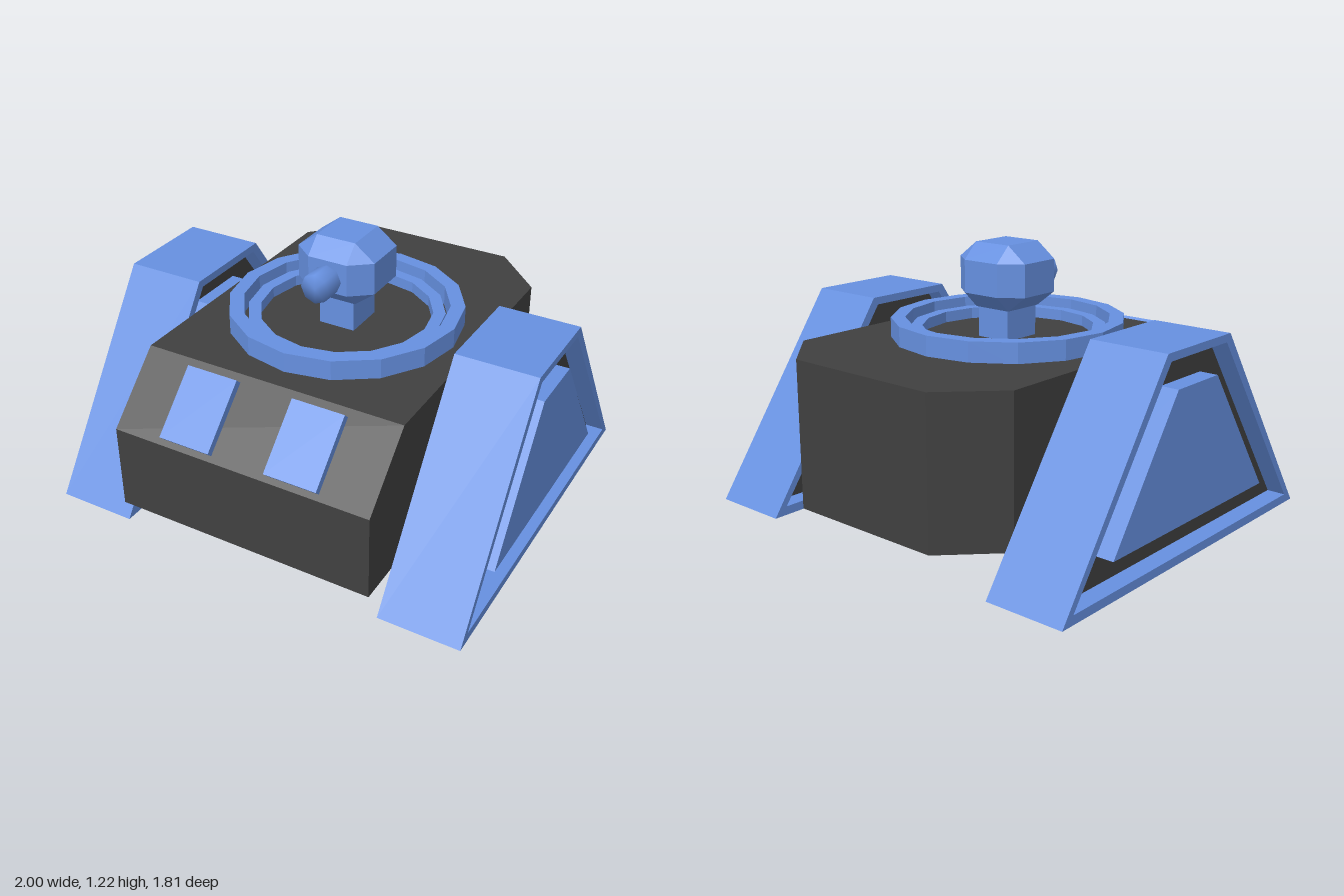
import * as THREE from 'three';
import { ConvexGeometry } from 'three/addons/geometries/ConvexGeometry.js';
import { mergeVertices } from 'three/addons/utils/BufferGeometryUtils.js';

const blue = new THREE.MeshStandardMaterial({ color: 0x6690e0, flatShading: true });
const dark = new THREE.MeshStandardMaterial({ color: 0x404040, flatShading: true });
const blueSmooth = new THREE.MeshStandardMaterial({ color: 0x6690e0 });

function add(parent, name, geometry, material, x = 0, y = 0, z = 0) {
  const mesh = new THREE.Mesh(geometry, material);
  mesh.name = name;
  mesh.position.set(x, y, z);
  parent.add(mesh);
  return mesh;
}

// Trapezoid corners: half length and height at the bottom, then at the top
function trapezoid([b, y0, t, y1]) {
  return [[-b, y0], [b, y0], [t, y1], [-t, y1]].map(([u, v]) => new THREE.Vector2(u, v));
}

// Trapezoid seen from the side, extruded across x and centred on x = 0
function sidePlate(outline, width, hole) {
  const shape = new THREE.Shape(trapezoid(outline));
  if (hole) shape.holes.push(new THREE.Path(trapezoid(hole)));
  return new THREE.ExtrudeGeometry(shape, { depth: width, bevelEnabled: false })
    .translate(0, 0, -width / 2).rotateY(Math.PI / 2);
}

// Sixteen-sided ring with a rectangular section
function ring(inner, outer, y0, y1) {
  const profile = [[inner, y0], [outer, y0], [outer, y1], [inner, y1], [inner, y0]];
  return new THREE.LatheGeometry(profile.map(([r, y]) => new THREE.Vector2(r, y)), 16);
}

export function createModel() {
  const model = new THREE.Group();
  model.name = 'trackedVehicle';

  // Hull: sloped front, chamfered rear corners
  const hull = [];
  for (const s of [-1, 1]) {
    for (const [x, y, z] of [
      [0.61, 0.13, 0.9], [0.61, 0.52, 0.9], [0.61, 0.79, 0.625],
      [0.61, 0.13, -0.675], [0.61, 0.79, -0.675],
      [0.375, 0.13, -0.91], [0.375, 0.79, -0.91],
    ]) hull.push(new THREE.Vector3(s * x, y, z));
  }
  add(model, 'hull', new ConvexGeometry(hull), dark);

  // Side tracks and front hatches, mirrored
  const rim = [0.865, 0, 0.23, 0.91];
  const recess = [0.8, 0.04, 0.205, 0.875];
  const panel = [0.555, 0.165, 0.145, 0.75];
  for (const [side, s] of [['left', 1], ['right', -1]]) {
    const track = new THREE.Group();
    track.name = side + 'Track';
    track.position.x = s * 0.815;
    add(track, 'trackRim', sidePlate(rim, 0.37, recess), blue);
    add(track, 'trackRecess', sidePlate(recess, 0.2), dark);
    add(track, 'trackPanel', sidePlate(panel, 0.368), blue);
    model.add(track);

    const hatch = add(model, side + 'FrontHatch', new THREE.BoxGeometry(0.243, 0.322, 0.064),
      blue, s * 0.254, 0.653, 0.767);
    hatch.rotation.x = -Math.PI / 4;
  }

  // Turret rings on the deck
  add(model, 'outerTurretRing', ring(0.46, 0.525, 0.78, 0.88), blue);
  add(model, 'innerTurretRing', ring(0.385, 0.44, 0.78, 0.84), blue);

  // Turret: neck, faceted head and short barrel
  const turret = new THREE.Group();
  turret.name = 'turret';
  model.add(turret);
  add(turret, 'neck', new THREE.BoxGeometry(0.17, 0.15, 0.19), blue, 0, 0.86, -0.007);

  const head = [];
  for (const sx of [-1, 1]) for (const sy of [-1, 1]) for (const sz of [-1, 1]) {
    for (const [x, y, z] of [[0.187, 0.073, 0.1], [0.093, 0.073, 0.175], [0.093, 0.145, 0.1]]) {
      head.push(new THREE.Vector3(sx * x, sy * y, sz * z));
    }
  }
  add(turret, 'head', new ConvexGeometry(head), blue, 0, 1.071, -0.008);

  let barrel = new THREE.CylinderGeometry(0.067, 0.067, 0.14, 8).rotateX(Math.PI / 2);
  barrel.deleteAttribute('normal');
  barrel.deleteAttribute('uv');
  barrel = mergeVertices(barrel);
  barrel.computeVertexNormals();
  add(turret, 'barrel', barrel, blueSmooth, 0, 1.056, 0.2);

  return model;
}
